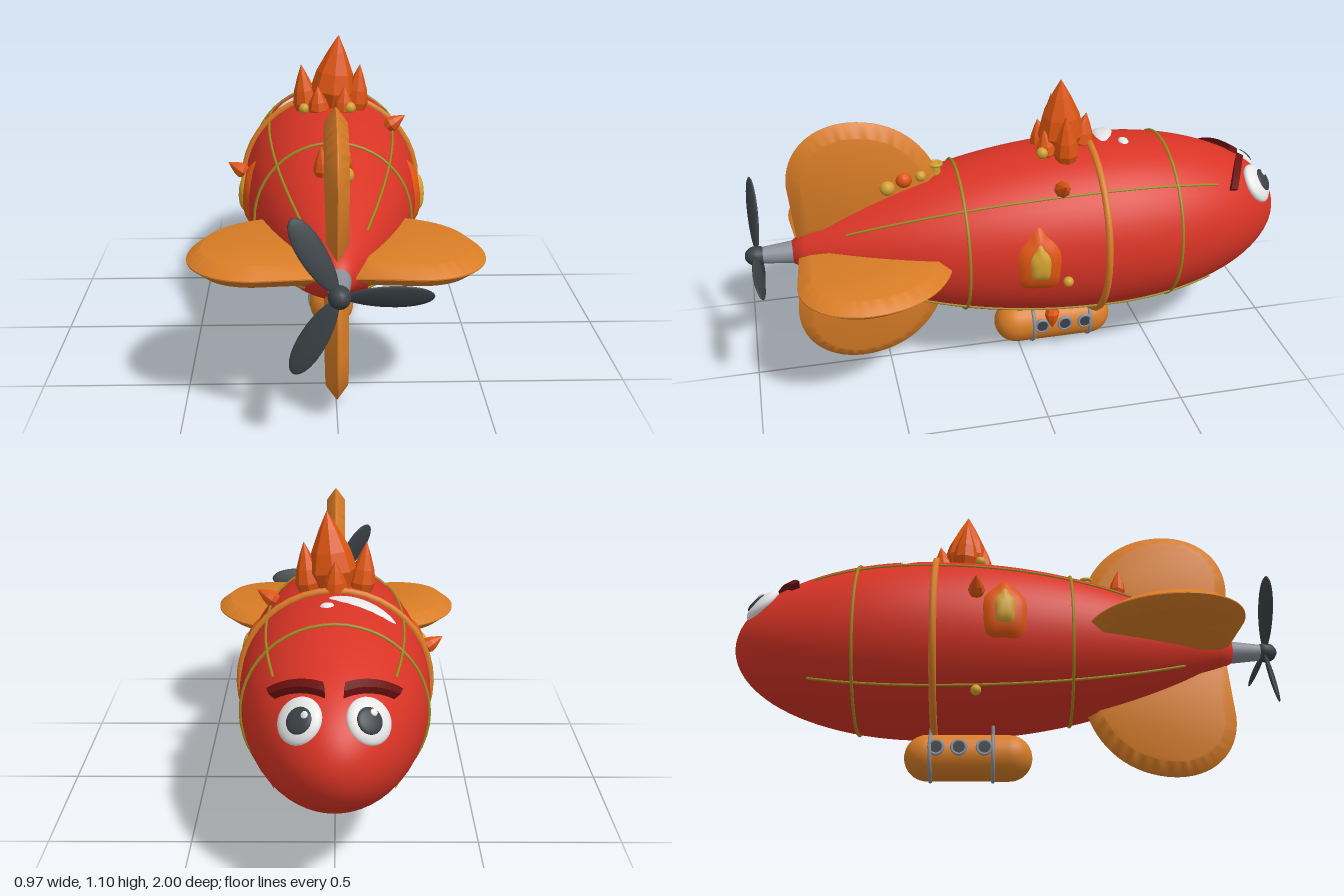
import * as THREE from 'three';
import { mergeVertices, toCreasedNormals } from 'three/addons/utils/BufferGeometryUtils.js';

const mat = (name, color) => Object.assign(new THREE.MeshStandardMaterial({ color }), { name });
const V = (x, y, z) => new THREE.Vector3(x, y, z);
const AXIS = 0.52; // height of the hull axis

// Hull radius at z: elliptical nose, tapering tail
function hullR(z) {
  if (z < -0.3) return 0.33 * Math.sqrt(Math.max(0, 1 - ((z + 0.3) / 0.7) ** 2));
  return 0.33 * (1 - ((z + 0.3) / 1.2) ** 2.2);
}
// Point on the hull at angle phi (0 = left side, PI/2 = top), raised by h
function onHull(phi, z, h = 0) {
  const r = hullR(z) + h;
  return V(r * Math.cos(phi), AXIS + r * Math.sin(phi), z);
}

export function createModel() {
  const root = new THREE.Group();
  root.name = 'airship';
  const red = mat('hull red', 0xd93425), orange = mat('fin orange', 0xd97d26);
  const fire = mat('flame orange', 0xdd5510), gold = mat('gold', 0xd0a030);
  const rope = mat('seam olive', 0xa08a1e), dark = mat('dark grey', 0x3a4145);
  const grey = mat('metal grey', 0x8a8f99), white = mat('white', 0xe8e8e8);
  const maroon = mat('brow maroon', 0x6a1010);

  function add(name, geo, material, pos, parent = root) {
    const m = new THREE.Mesh(geo, material);
    m.name = name;
    if (pos) m.position.copy(pos);
    parent.add(m);
    return m;
  }
  const ball = (name, r, material, pos) => add(name, new THREE.SphereGeometry(r, 14, 10), material, pos);

  // Domed patch that follows the hull; outline(theta) gives [around, along]
  function patch(name, phi0, z0, outline, height, material, turn = 1) {
    const geo = new THREE.RingGeometry(0.001, 1, 40, 6);
    const p = geo.attributes.position;
    for (let i = 0; i < p.count; i++) {
      const rho = Math.hypot(p.getX(i), p.getY(i));
      const [u, v] = outline(Math.atan2(p.getY(i), p.getX(i)));
      const z = z0 + turn * v * rho;
      const q = onHull(phi0 + turn * u * rho / hullR(z0), z, height * (1 - rho ** 4) - 0.003 * rho ** 4);
      p.setXYZ(i, q.x, q.y, q.z);
    }
    geo.computeVertexNormals();
    return add(name, geo, material);
  }

  // Faceted flame from base to tip
  const flameProfile = [[0, 0], [0.75, 0.08], [1, 0.28], [0.8, 0.52], [0.4, 0.78], [0, 1]];
  function flame(name, base, tip, width) {
    const dir = tip.clone().sub(base), len = dir.length();
    const pts = flameProfile.map(([r, y]) => new THREE.Vector2(r * width, y * len));
    const geo = new THREE.LatheGeometry(pts, 8).toNonIndexed();
    geo.computeVertexNormals();
    const m = add(name, geo, fire, base);
    m.quaternion.setFromUnitVectors(V(0, 1, 0), dir.normalize());
  }

  // Hull
  const prof = [];
  for (let i = 0; i <= 24; i++) {
    const z = -0.3 - 0.7 * Math.cos((i / 24) * Math.PI / 2);
    prof.push(new THREE.Vector2(hullR(z), z));
  }
  for (let i = 1; i <= 24; i++) {
    const z = -0.3 + (1.13 * i) / 24;
    prof.push(new THREE.Vector2(hullR(z), z));
  }
  prof.push(new THREE.Vector2(0, 0.83));
  add('hull', new THREE.LatheGeometry(prof, 48).rotateX(Math.PI / 2), red, V(0, AXIS, 0));

  // Hoops and lengthwise seams
  add('mainHoop', new THREE.TorusGeometry(hullR(-0.26) + 0.005, 0.013, 8, 40), orange, V(0, AXIS, -0.26));
  for (const z of [0.23, -0.54])
    add('thinHoop', new THREE.TorusGeometry(hullR(z) + 0.002, 0.006, 6, 48), rope, V(0, AXIS, z));
  for (let k = 0; k < 4; k++) {
    const pts = [];
    for (let i = 0; i <= 14; i++) pts.push(onHull(Math.PI / 4 + k * Math.PI / 2, -0.7 + 1.34 * i / 14, 0.002));
    add('seam', new THREE.TubeGeometry(new THREE.CatmullRomCurve3(pts), 40, 0.005, 6), rope);
  }

  // Four bevelled tail fins; outline is [radial, z], inset by the bevel
  const bevel = 0.045;
  const fin = new THREE.Shape();
  fin.moveTo(0.1, 0.77);
  fin.lineTo(0.1, 0.34);
  fin.lineTo(0.21, 0.325);
  fin.bezierCurveTo(0.35, 0.36, 0.437, 0.46, 0.44, 0.6);
  fin.bezierCurveTo(0.44, 0.7, 0.38, 0.785, 0.26, 0.785);
  fin.lineTo(0.1, 0.77);
  let finGeo = new THREE.ExtrudeGeometry(fin, {
    depth: 0.004, bevelThickness: 0.034, bevelSize: bevel, bevelSegments: 1, curveSegments: 16,
  });
  finGeo.translate(0, 0, -0.002).rotateX(Math.PI / 2);
  finGeo.deleteAttribute('uv');
  finGeo.deleteAttribute('normal');
  finGeo = toCreasedNormals(mergeVertices(finGeo, 1e-4), 0.9);
  ['leftFin', 'topFin', 'rightFin', 'bottomFin'].forEach((n, k) => {
    add(n, finGeo, orange, V(0, AXIS, 0)).rotation.z = k * Math.PI / 2;
  });

  // Propeller
  add('shaft', new THREE.CylinderGeometry(0.029, 0.043, 0.13, 20).rotateX(Math.PI / 2), grey, V(0, AXIS, 0.88));
  ball('hub', 0.036, dark, V(0, AXIS, 0.957)).scale.z = 1.18;
  const bladeGeo = new THREE.SphereGeometry(1, 20, 14);
  const bp = bladeGeo.attributes.position;
  for (let i = 0; i < bp.count; i++) {
    const t = bp.getX(i), y = bp.getY(i) * 0.04 * (1 + 0.15 * t), z = bp.getZ(i) * 0.011;
    bp.setXYZ(i, 0.15 + 0.135 * t, y, z + y * 0.4);
  }
  bladeGeo.computeVertexNormals();
  for (let k = 0; k < 3; k++)
    add('blade', bladeGeo, dark, V(0, AXIS, 0.955)).rotation.z = k * Math.PI * 2 / 3;

  // Gondola with straps, struts and portholes
  const gy = 0.103;
  add('gondola', new THREE.CapsuleGeometry(0.083, 0.29, 10, 28).rotateX(Math.PI / 2), orange, V(0, gy, -0.138));
  for (const z of [-0.05, -0.272]) {
    add('strap', new THREE.TorusGeometry(0.083, 0.007, 8, 32), grey, V(0, gy, z));
    for (const s of [-1, 1])
      add('strut', new THREE.CylinderGeometry(0.006, 0.006, 0.07, 8), grey, V(s * 0.05, 0.195, z));
  }
  for (const s of [-1, 1]) for (const z of [-0.08, -0.17, -0.25]) {
    const port = new THREE.Group();
    port.name = 'porthole';
    port.position.set(s * 0.081, 0.115, z);
    port.rotation.y = s * Math.PI / 2;
    root.add(port);
    add('portholeRim', new THREE.TorusGeometry(0.025, 0.006, 8, 20), grey, null, port);
    add('portholeGlass', new THREE.CylinderGeometry(0.024, 0.024, 0.008, 20).rotateX(Math.PI / 2), dark, null, port);
  }

  // Crest of flames on top
  flame('crestFlame', V(0, 0.82, -0.16), V(0.03, 1.11, -0.15), 0.085);
  for (const s of [-1, 1]) {
    flame('crestFlame', V(s * 0.088, 0.8, -0.16), V(s * 0.11, 1.0, -0.15), 0.047);
    flame('crestFlame', V(s * 0.045, 0.81, -0.1), V(s * 0.05, 0.93, -0.085), 0.04);
  }
  flame('crestFlame', V(0, 0.81, -0.23), V(0, 0.96, -0.255), 0.045);
  ball('crestBead', 0.02, gold, V(-0.1, 0.842, -0.1));
  ball('crestBead', 0.022, gold, V(0.07, 0.85, -0.075));

  // Small flames and beads around the hull
  flame('sideFlame', V(-0.315, 0.588, -0.11), V(-0.387, 0.635, -0.11), 0.03);
  flame('sideFlame', V(0.205, 0.765, -0.11), V(0.278, 0.813, -0.11), 0.03);
  flame('sideFlame', V(0.11, 0.215, -0.11), V(0.12, 0.128, -0.11), 0.029);
  ball('bead', 0.019, gold, V(0.332, 0.465, -0.11));
  ball('bead', 0.019, gold, V(-0.23, 0.27, -0.11));

  // Flame medallions on both sides
  const teardrop = (h, w) => (t) => {
    const up = Math.cos(t), spike = 1 + 0.07 * Math.cos(5 * t);
    return [h * up * spike, w * Math.sin(t) * (1 - 0.28 * up) * spike];
  };
  for (const [phi, turn] of [[0.08, 1], [Math.PI - 0.08, -1]]) {
    patch('medallion', phi, -0.01, teardrop(0.125, 0.08), 0.018, fire, turn);
    patch('medallionHeart', phi, -0.01, teardrop(0.082, 0.046), 0.03, gold, turn);
  }

  // Ornaments beside the top fin
  add('spool', new THREE.CylinderGeometry(0.017, 0.017, 0.05, 16), gold, V(0, 0.795, 0.3));
  add('spoolLip', new THREE.TorusGeometry(0.02, 0.007, 8, 20).rotateX(Math.PI / 2), gold, V(0, 0.815, 0.3));
  flame('finFlame', V(-0.04, 0.72, 0.41), V(-0.045, 0.84, 0.42), 0.03);
  ball('finBead', 0.03, fire, V(0.03, 0.78, 0.42));
  ball('finBead', 0.028, gold, V(0.035, 0.755, 0.48));
  ball('finBead', 0.02, gold, V(0.035, 0.79, 0.36));
  ball('finBead', 0.024, gold, V(-0.04, 0.745, 0.35));

  // Eyes set along the hull normal
  for (const s of [-1, 1]) {
    const eye = new THREE.Group();
    eye.name = s > 0 ? 'leftEye' : 'rightEye';
    eye.position.set(s * 0.104, AXIS + 0.132, -0.895);
    eye.lookAt(eye.position.clone().add(V(s * 0.46, 0.58, -0.67)));
    root.add(eye);
    const disc = (name, r, d, m, x, y, z) =>
      add(name, new THREE.SphereGeometry(1, 24, 16), m, V(x, y, z), eye).scale.set(r, r, d);
    disc('eyeWhite', 0.076, 0.03, white, 0, 0, 0);
    disc('iris', 0.043, 0.012, dark, s * 0.012, -0.002, 0.024);
    disc('glint', 0.012, 0.005, white, 0.018 + s * 0.012, 0.018, 0.034);
  }

  // Angry brows: bars bent over the hull
  function brow(name, phiA, zA, phiB, zB) {
    const geo = new THREE.BoxGeometry(1, 1, 1, 10, 1, 1);
    const p = geo.attributes.position;
    for (let i = 0; i < p.count; i++) {
      const t = p.getX(i) + 0.5;
      const z = THREE.MathUtils.lerp(zA, zB, t) + p.getY(i) * 0.03;
      const q = onHull(THREE.MathUtils.lerp(phiA, phiB, t), z, 0.007 + p.getZ(i) * 0.034);
      p.setXYZ(i, q.x, q.y, q.z);
    }
    const flat = geo.toNonIndexed();
    flat.computeVertexNormals();
    add(name, flat, maroon);
  }
  brow('leftBrow', 0.7, -0.765, 1.43, -0.85);
  brow('rightBrow', Math.PI - 1.43, -0.85, Math.PI - 0.7, -0.765);

  // Painted shine spots
  const oval = (a, b, tilt) => (t) => {
    const x = a * Math.cos(t), y = b * Math.sin(t);
    return [x * Math.cos(tilt) - y * Math.sin(tilt), x * Math.sin(tilt) + y * Math.cos(tilt)];
  };
  patch('shine', 1.88, -0.345, oval(0.135, 0.04, -0.24), 0.008, white);
  patch('shineDot', 1.49, -0.39, oval(0.026, 0.02, 0), 0.008, white);

  return root;
}
